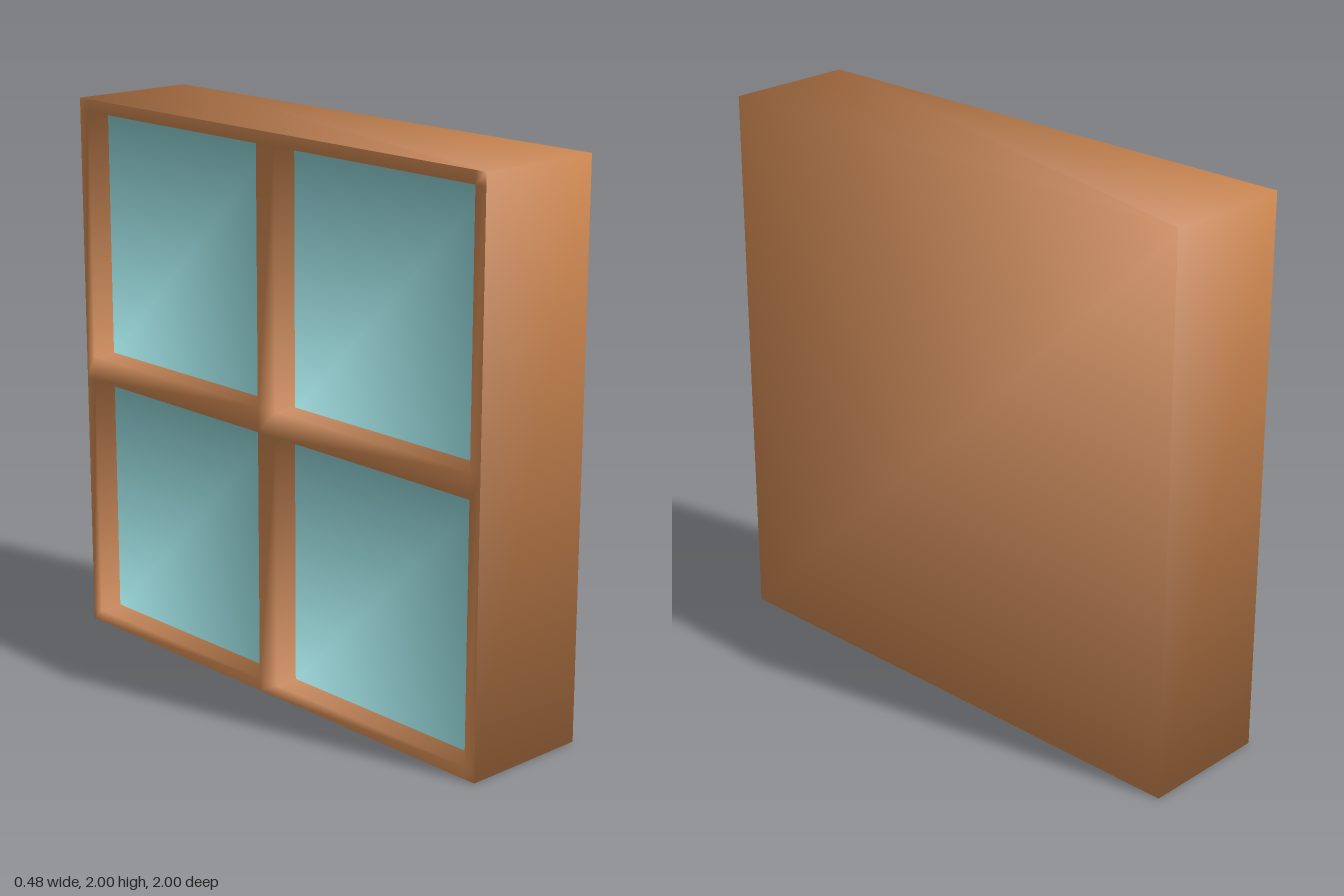
import * as THREE from 'three';

const HALF = 0.24;      // half thickness in x
const DEPTH = 0.09;     // pane recess
const LINES = [-1, -0.955, -0.045, 0.045, 0.955, 1]; // frame and bar edges

// Quad from four corners, counter-clockwise seen from outside
function quad(list, a, b, c, d) {
  const v = [a, b, c, d].map((p) => new THREE.Vector3(...p));
  const n = v[1].clone().sub(v[0]).cross(v[2].clone().sub(v[0])).normalize();
  list.push({ v, n });
}

// Soft corner normals: average of the distinct face directions meeting at a point
function softNormals(quads) {
  const map = new Map();
  const key = (p) => p.toArray().map((x) => Math.round(x * 1000)).join();
  for (const { v, n } of quads) {
    for (const p of v) {
      const dirs = map.get(key(p)) ?? [];
      if (!dirs.some((d) => d.dot(n) > 0.99)) dirs.push(n);
      map.set(key(p), dirs);
    }
  }
  return (p) => map.get(key(p)).reduce((s, d) => s.add(d), new THREE.Vector3()).normalize();
}

function makeMesh(name, quads, normalAt, color) {
  const pos = [], nor = [], index = [];
  quads.forEach(({ v }, i) => {
    for (const p of v) {
      pos.push(p.x, p.y + 1, p.z);
      nor.push(...normalAt(p).toArray());
    }
    index.push(...[0, 1, 2, 0, 2, 3].map((k) => k + i * 4));
  });
  const g = new THREE.BufferGeometry();
  g.setAttribute('position', new THREE.Float32BufferAttribute(pos, 3));
  g.setAttribute('normal', new THREE.Float32BufferAttribute(nor, 3));
  g.setIndex(index);
  const mesh = new THREE.Mesh(g, new THREE.MeshStandardMaterial({ color }));
  mesh.name = name;
  return mesh;
}

export function createModel() {
  const frame = [], panes = [];
  const h = HALF, f = -HALF, r = -HALF + DEPTH;

  // Plain back, ends, top and bottom of the block
  quad(frame, [h, -1, 1], [h, -1, -1], [h, 1, -1], [h, 1, 1]);
  quad(frame, [f, -1, 1], [h, -1, 1], [h, 1, 1], [f, 1, 1]);
  quad(frame, [h, -1, -1], [f, -1, -1], [f, 1, -1], [h, 1, -1]);
  quad(frame, [f, 1, 1], [h, 1, 1], [h, 1, -1], [f, 1, -1]);
  quad(frame, [f, -1, -1], [h, -1, -1], [h, -1, 1], [f, -1, 1]);

  // Window side: frame strips, crossing bars and four recessed panes
  for (let i = 0; i < 5; i++) {
    for (let j = 0; j < 5; j++) {
      const [y0, y1, z0, z1] = [LINES[i], LINES[i + 1], LINES[j], LINES[j + 1]];
      const face = (x) => [[x, y0, z0], [x, y0, z1], [x, y1, z1], [x, y1, z0]];
      const outer = face(f);
      if (i % 2 === 0 || j % 2 === 0) {
        quad(frame, ...outer);
        continue;
      }
      const inner = face(r);
      quad(panes, ...inner);
      // Reveal walls around the pane
      for (let k = 0; k < 4; k++) {
        const m = (k + 1) % 4;
        quad(frame, outer[k], outer[m], inner[m], inner[k]);
      }
    }
  }

  const normalAt = softNormals([...frame, ...panes]);
  const group = new THREE.Group();
  group.name = 'window';
  group.add(makeMesh('frame', frame, normalAt, 0xcc8650));
  group.add(makeMesh('glassPanes', panes, normalAt, 0x8ccdd0));
  return group;
}
